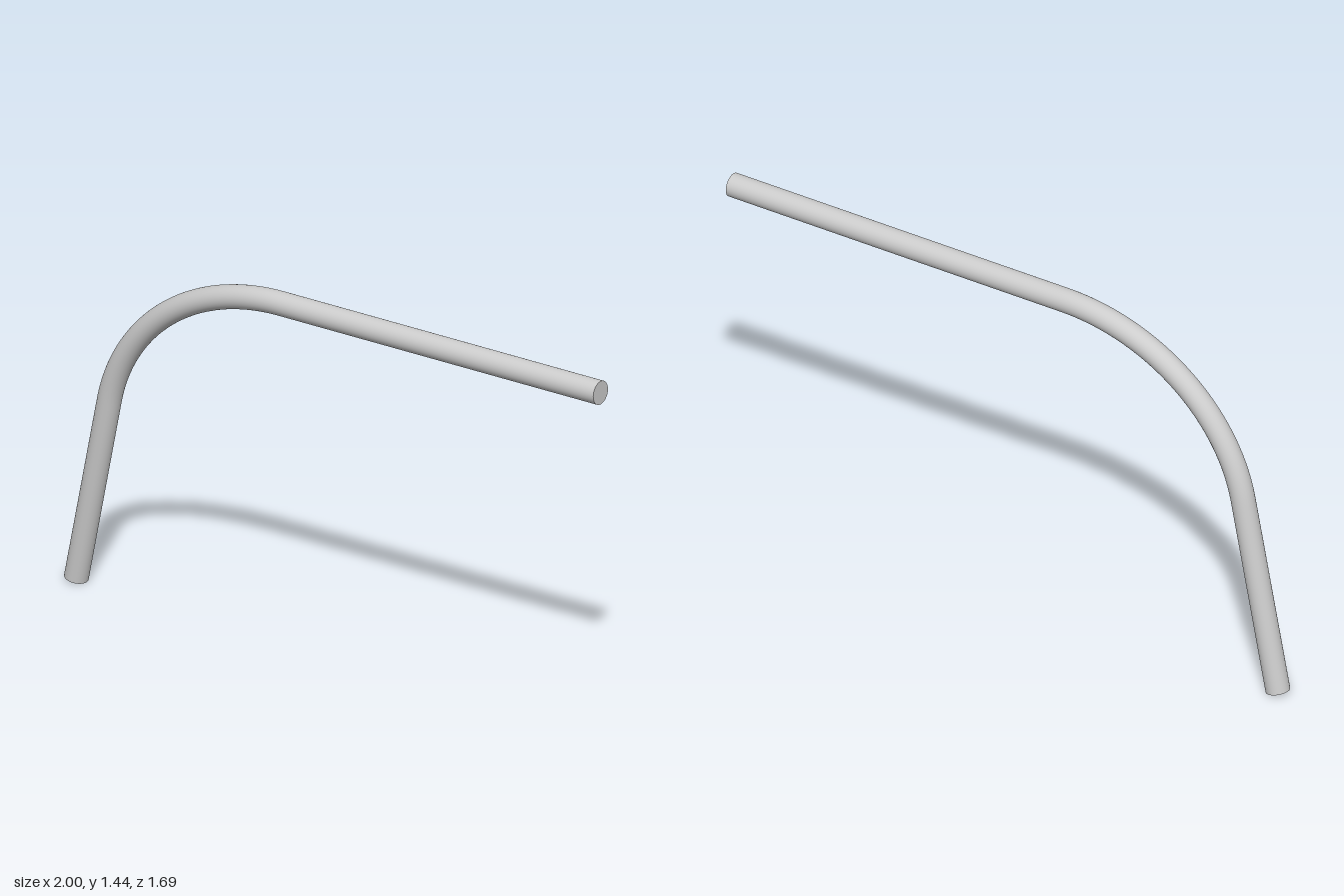
import * as THREE from 'three';

const RADIUS = 0.0475;

export function createModel() {
  const group = new THREE.Group();
  group.name = 'bentPipe';
  const material = new THREE.MeshStandardMaterial({ color: 0xcccccc });

  // Centre line: slanted leg, rounded bend, level bar
  const foot = new THREE.Vector3(-0.953, 0.0105, -0.8);
  const corner = new THREE.Vector3(-0.741, 1.397, -0.568);
  const tip = new THREE.Vector3(0.968, 1.397, 0.81);
  const toFoot = foot.clone().sub(corner).normalize();
  const toTip = tip.clone().sub(corner).normalize();
  const along = (dir, d) => corner.clone().addScaledVector(dir, d);
  const legReach = 0.62, barReach = 0.69, handle = 0.415;

  const path = new THREE.CurvePath();
  path.add(new THREE.LineCurve3(foot, along(toFoot, legReach)));
  path.add(new THREE.CubicBezierCurve3(
    along(toFoot, legReach), along(toFoot, legReach * handle),
    along(toTip, barReach * handle), along(toTip, barReach)));
  path.add(new THREE.LineCurve3(along(toTip, barReach), tip));

  const pipe = new THREE.Mesh(new THREE.TubeGeometry(path, 160, RADIUS, 40, false), material);
  pipe.name = 'pipe';
  group.add(pipe);

  // Flat discs closing both ends
  const addCap = (name, position, direction) => {
    const cap = new THREE.Mesh(new THREE.CircleGeometry(RADIUS, 40), material);
    cap.name = name;
    cap.position.copy(position);
    cap.quaternion.setFromUnitVectors(new THREE.Vector3(0, 0, 1), direction);
    group.add(cap);
  };
  addCap('footCap', foot, toFoot);
  addCap('tipCap', tip, toTip);

  return group;
}
